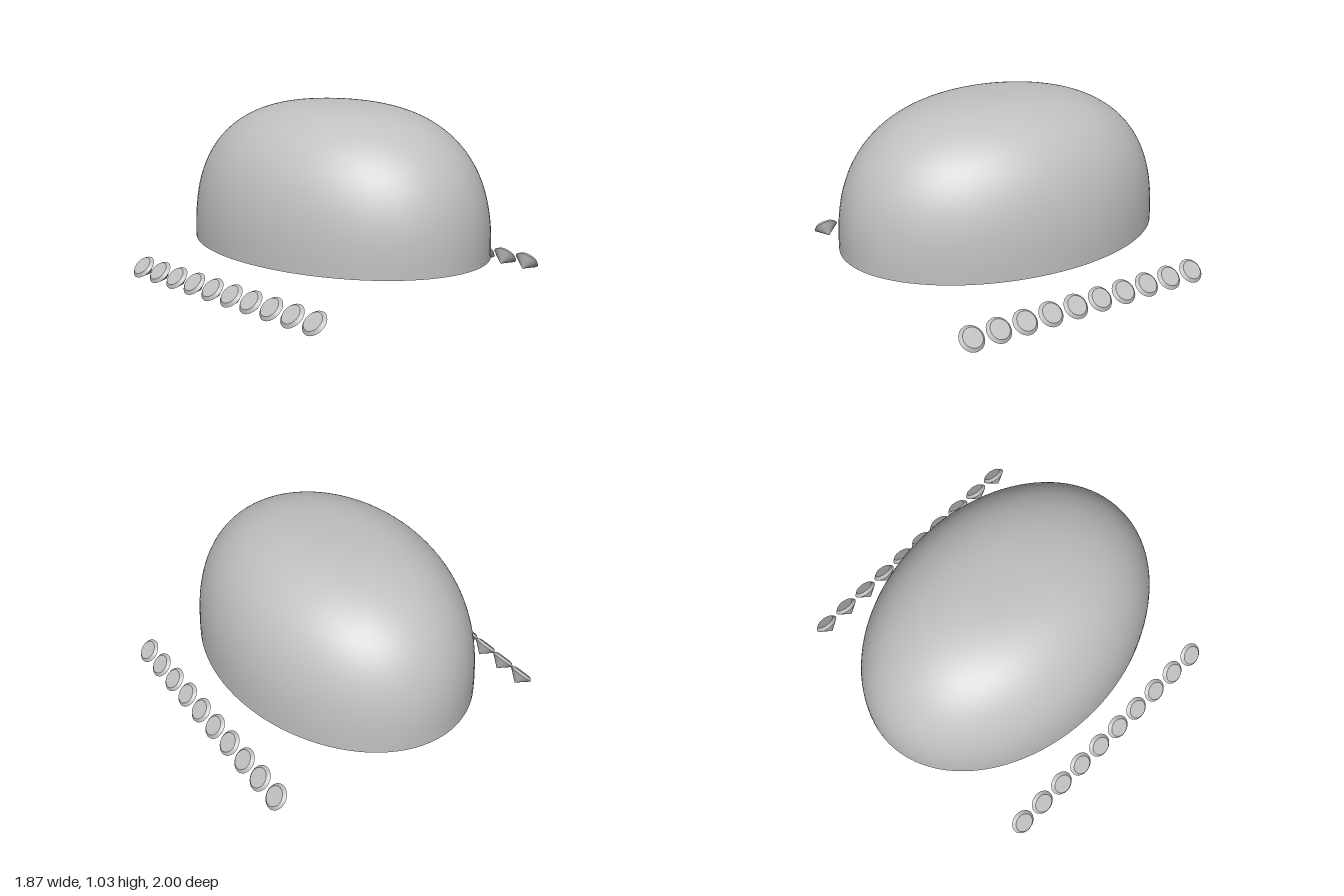
import * as THREE from 'three';
import { toCreasedNormals } from 'three/addons/utils/BufferGeometryUtils.js';

export function createModel() {
  const model = new THREE.Group();
  const grey = new THREE.MeshStandardMaterial({ color: 0xc0c0c0 });
  grey.name = 'grey';

  const add = (geometry, name, parent = model) => {
    const mesh = new THREE.Mesh(geometry, grey);
    mesh.name = name;
    parent.add(mesh);
    return mesh;
  };

  // Oval dome: superellipse profile, turned and narrowed across x
  const baseY = 0.2, height = 0.84, halfWidth = 0.73, power = 2 / 2.6;
  const profile = [];
  const steps = 48;
  for (let i = 0; i <= steps; i++) {
    const a = (i / steps) * Math.PI / 2;
    const r = i === steps ? 0 : Math.cos(a) ** power;
    profile.push(new THREE.Vector2(r, baseY + height * Math.sin(a) ** power));
  }
  add(new THREE.LatheGeometry(profile, 96).scale(halfWidth, 1, 1), 'dome');

  // Flat underside
  const underside = new THREE.CircleGeometry(1, 96).rotateX(Math.PI / 2);
  add(underside.scale(halfWidth, 1, 1).translate(0, baseY, 0), 'domeUnderside');

  // Cut stone: pointed back, narrow bevel and flat outer face
  const stoneProfile = [[0, -0.067], [0.074, -0.003], [0.057, 0.014], [0, 0.014]]
    .map(([r, y]) => new THREE.Vector2(r, y));
  const stone = toCreasedNormals(new THREE.LatheGeometry(stoneProfile, 24), 0.5);

  // A row of ten stones along each side, tilted up and outwards
  for (const side of [-1, 1]) {
    const row = new THREE.Group();
    row.name = side > 0 ? 'leftStoneRow' : 'rightStoneRow';
    for (let i = 0; i < 10; i++) {
      const mesh = add(stone, 'stone', row);
      mesh.position.set(side * 0.883, 0.06, (i - 4.5) * 0.165);
      mesh.rotation.z = -side * Math.PI / 4;
    }
    model.add(row);
  }
  return model;
}
